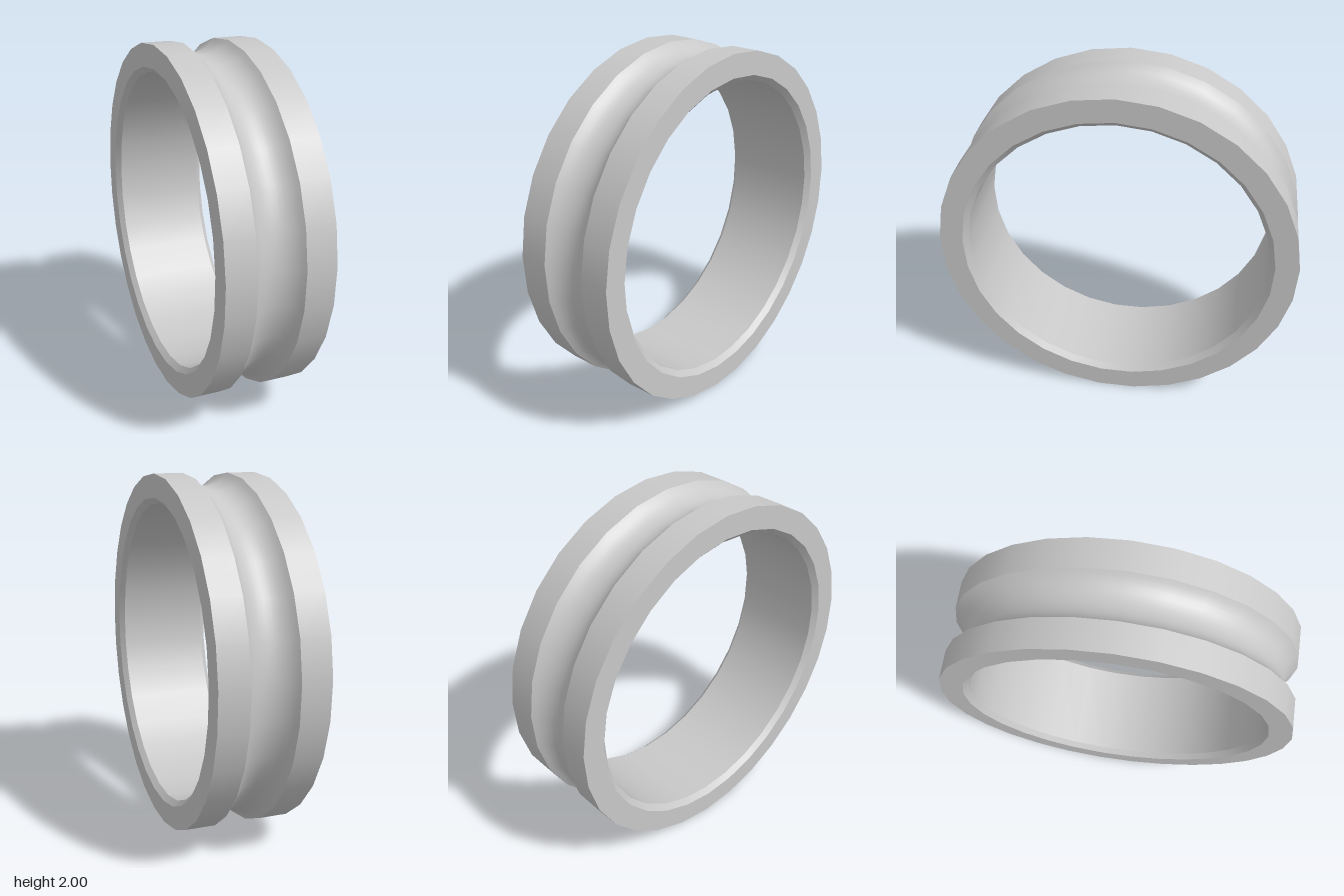
import * as THREE from 'three';

const SIDES = 29;
const OUTER = 1.0015, BORE = 0.842, CHAMFER = 0.03, HALF = 0.295;
const GROOVE_HALF = 0.13, GROOVE_DEPTH = 0.07;

export function createModel() {
  const group = new THREE.Group();
  group.name = 'groovedRing';
  const metal = new THREE.MeshStandardMaterial({ color: 0xc8c8c8 });
  metal.name = 'light grey metal';

  // Each smooth stretch of the profile is its own lathe, so the edges between them stay sharp.
  const addBand = (name, profile) => {
    const points = profile.map(([r, x]) => new THREE.Vector2(r, x));
    const geometry = new THREE.LatheGeometry(points, SIDES, Math.PI / 2);
    geometry.rotateZ(Math.PI / 2); // turn the axis to x, one corner at the top
    const mesh = new THREE.Mesh(geometry, metal);
    mesh.name = name;
    group.add(mesh);
  };

  // Circular groove around the middle
  const arcRadius = (GROOVE_HALF ** 2 + GROOVE_DEPTH ** 2) / (2 * GROOVE_DEPTH);
  const arcCentre = OUTER - GROOVE_DEPTH + arcRadius;
  const arcAngle = Math.asin(GROOVE_HALF / arcRadius);
  const groove = [];
  for (let i = 0; i <= 12; i++) {
    const a = arcAngle * (i / 6 - 1);
    groove.push([arcCentre - arcRadius * Math.cos(a), arcRadius * Math.sin(a)]);
  }
  addBand('groove', groove);

  // Outer rims either side of the groove
  addBand('leftRim', [[OUTER, -HALF], [OUTER, -GROOVE_HALF]]);
  addBand('rightRim', [[OUTER, GROOVE_HALF], [OUTER, HALF]]);

  // Flat side faces
  const lip = BORE + CHAMFER;
  addBand('rightFace', [[OUTER, HALF], [lip, HALF]]);
  addBand('leftFace', [[lip, -HALF], [OUTER, -HALF]]);

  // Chamfered lips and the straight bore
  const boreHalf = HALF - CHAMFER;
  addBand('rightChamfer', [[lip, HALF], [BORE, boreHalf]]);
  addBand('bore', [[BORE, boreHalf], [BORE, -boreHalf]]);
  addBand('leftChamfer', [[BORE, -boreHalf], [lip, -HALF]]);

  // Rest the flat bottom side on the ground
  group.position.y = OUTER * Math.cos(Math.PI / SIDES);
  return group;
}
